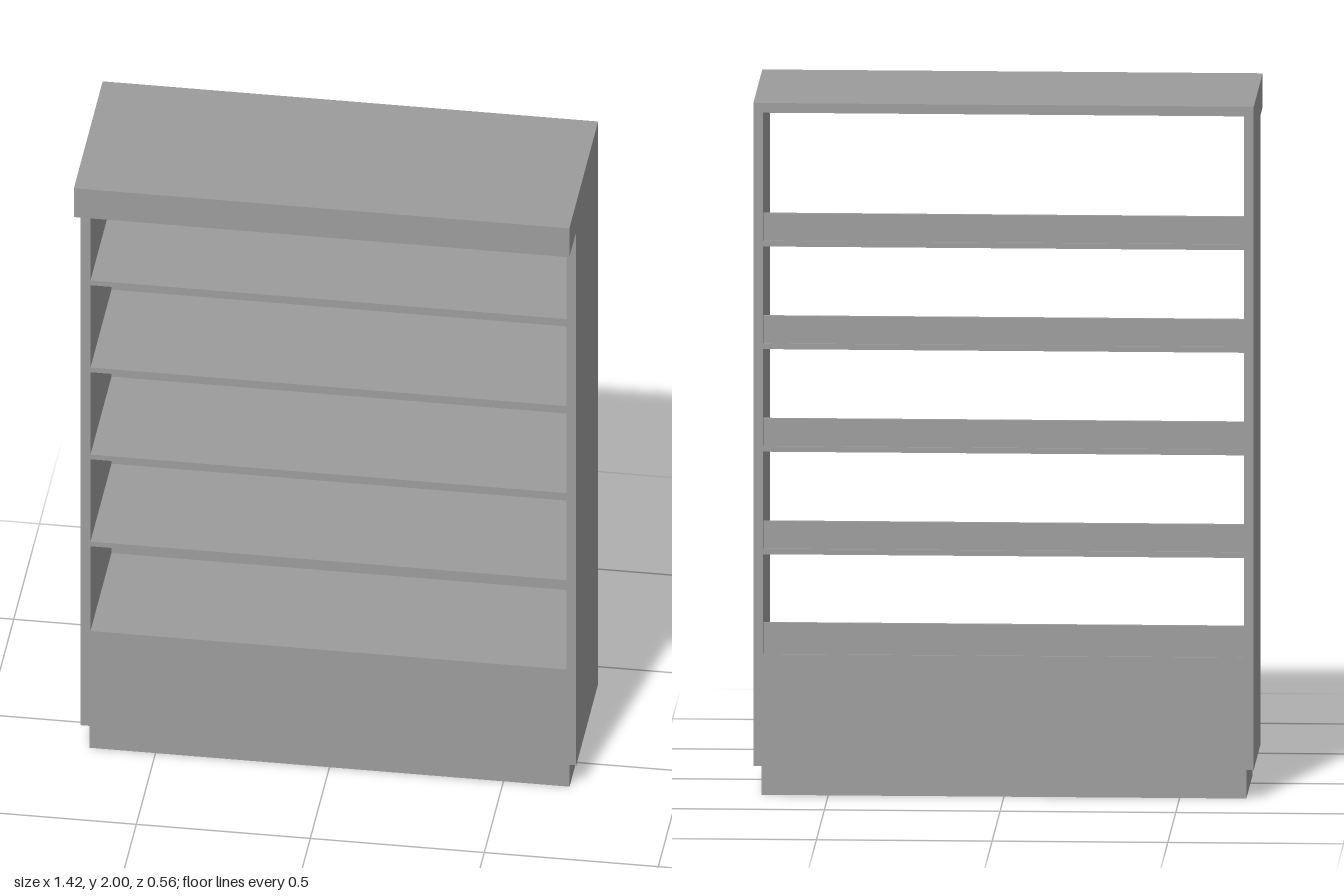
import * as THREE from 'three';

const material = new THREE.MeshStandardMaterial({ color: 0x9c9c9c });

// Box given by its limits on each axis
function slab(name, x0, x1, y0, y1, z0, z1) {
  const mesh = new THREE.Mesh(new THREE.BoxGeometry(x1 - x0, y1 - y0, z1 - z0), material);
  mesh.position.set((x0 + x1) / 2, (y0 + y1) / 2, (z0 + z1) / 2);
  mesh.name = name;
  return mesh;
}

export function createModel() {
  const model = new THREE.Group();
  model.name = 'shelvingUnit';

  const W = 0.712, IN = 0.684;          // outer and inner half widths
  const BACK = -0.28, FRONT = 0.146, CANOPY = 0.28;
  const KICK = 0.087, DECK = 0.41, VALANCE = 1.902, TOP = 2;
  const BOARD = 0.016, LIP_BACK = BACK + 0.006, LIP_FRONT = BACK + 0.018;

  // Side panels with the canopy end in one L-shaped outline (drawn in z, y)
  const outline = new THREE.Shape([
    [BACK, KICK], [FRONT, KICK], [FRONT, VALANCE], [CANOPY, VALANCE], [CANOPY, TOP], [BACK, TOP],
  ].map(([z, y]) => new THREE.Vector2(-z, y)));
  const sideGeometry = new THREE.ExtrudeGeometry(outline, { depth: W - IN, bevelEnabled: false });
  sideGeometry.rotateY(Math.PI / 2);
  for (const [name, x] of [['leftSide', IN], ['rightSide', -W]]) {
    const side = new THREE.Mesh(sideGeometry, material);
    side.position.x = x;
    side.name = name;
    model.add(side);
  }

  // Top board and hollow canopy front
  model.add(slab('topBoard', -IN, IN, TOP - 0.028, TOP, BACK, CANOPY));
  model.add(slab('canopyFront', -IN, IN, VALANCE, TOP - 0.028, CANOPY - 0.028, CANOPY));

  // Hollow base cabinet
  model.add(slab('baseFront', -IN, IN, KICK, DECK, FRONT - 0.025, FRONT));
  model.add(slab('baseBack', -IN, IN, KICK, DECK, BACK, BACK + 0.025));
  model.add(slab('baseDeck', -IN, IN, DECK - BOARD, DECK, BACK + 0.025, FRONT - 0.025));
  model.add(slab('deckLip', -IN, IN, DECK, 0.5, LIP_BACK, LIP_FRONT));

  // Recessed plinth, open underneath, lining the base
  const P = 0.69, T = 0.007, pf = 0.127, pb = -0.257, py = DECK - BOARD;
  const plinth = new THREE.Group();
  plinth.name = 'plinth';
  plinth.add(
    slab('plinthFront', -P, P, 0, py, pf - T, pf),
    slab('plinthBack', -P, P, 0, py, pb, pb + T),
    slab('plinthLeft', P - T, P, 0, py, pb + T, pf - T),
    slab('plinthRight', -P, -P + T, 0, py, pb + T, pf - T),
  );
  model.add(plinth);

  // Shelves with an upright lip at the back
  for (let i = 0; i < 4; i++) {
    const y = 0.698 + i * 0.296;
    const shelf = new THREE.Group();
    shelf.name = `shelf${i + 1}`;
    shelf.add(
      slab('shelfBoard', -IN, IN, y, y + BOARD, BACK, FRONT),
      slab('shelfLip', -IN, IN, y + BOARD, y + 0.095, LIP_BACK, LIP_FRONT),
    );
    model.add(shelf);
  }

  return model;
}
